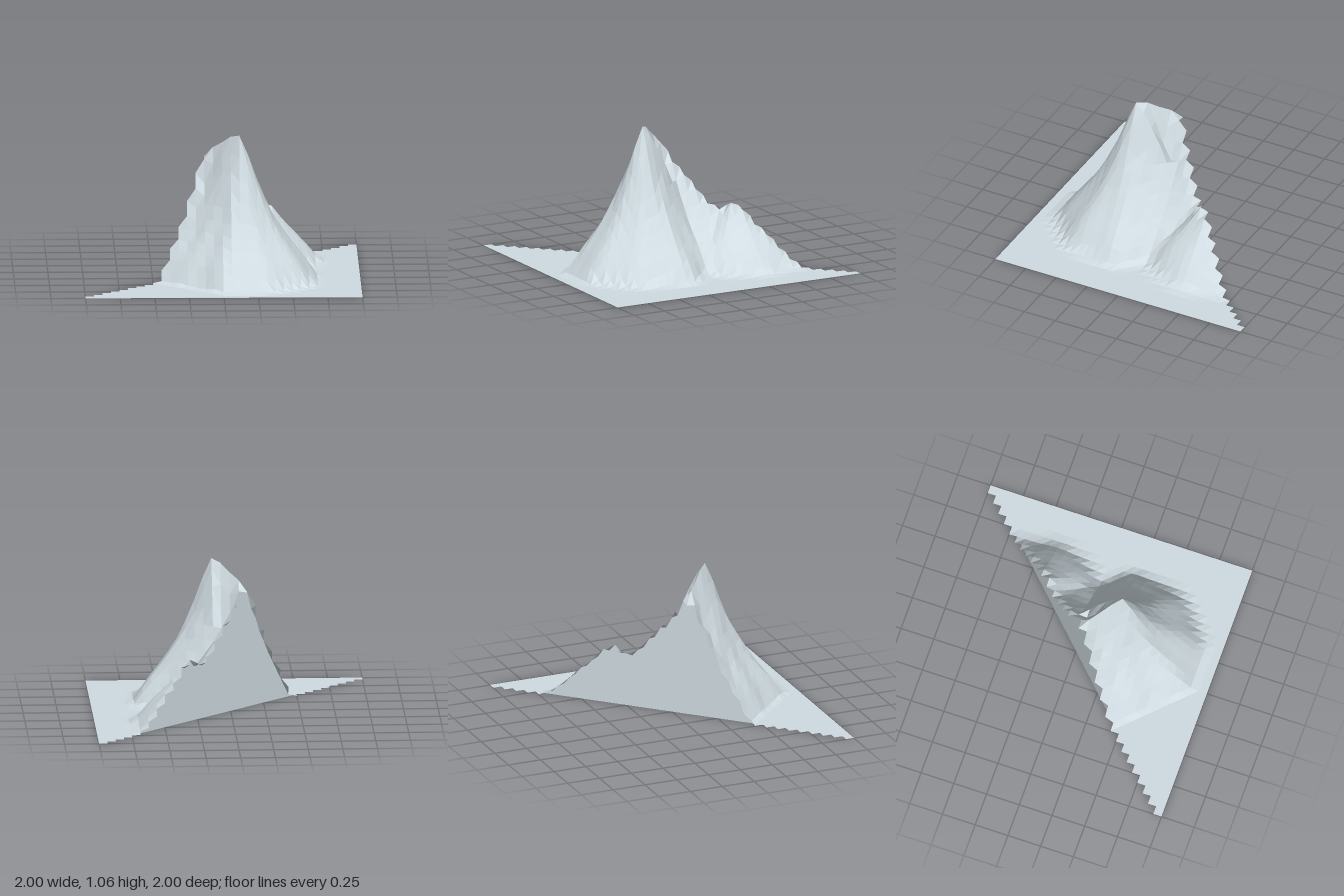
import * as THREE from 'three';

const N = 32, S = 2 / N, FLOOR = 0.002;

// Slope profile: height at each grid step of distance from the summit
const SLOPE = [1.06, 0.92, 0.75, 0.6, 0.47, 0.37, 0.28, 0.2, 0.115, 0.02, 0];
function slopeHeight(d) {
  const t = d / S, i = Math.floor(t);
  if (i >= SLOPE.length - 1) return 0;
  return THREE.MathUtils.lerp(SLOPE[i], SLOPE[i + 1], t - i);
}
function slopeDistance(h) {
  let i = 0;
  while (i < SLOPE.length - 2 && SLOPE[i + 1] > h) i++;
  return S * (i + (SLOPE[i] - h) / (SLOPE[i] - SLOPE[i + 1]));
}

// Ridge points [x, z, distance down the slope profile]
const ridge = [];
const addRidge = (x, z, h) => ridge.push([x, z, slopeDistance(h)]);

// Summit ridge running back from the peak to the cut, and a spur behind the peak
[1.06, 1.04, 0.985, 0.94].forEach((h, i) => addRidge(0.125 - i * S, 0.3125 - i * S, h));
[0.99, 0.88, 0.76].forEach((h, i) => addRidge(0.125, 0.25 - i * S, h));

// Crest along the diagonal cut, with a point halfway along each step
const CREST = [0.07, 0.23, 0.46, 0.65, 0.85, 0.87, 0.73, 0.64, 0.54,
  0.44, 0.4, 0.455, 0.41, 0.31, 0.24, 0.15, 0.07, 0.01];
CREST.forEach((h, i) => {
  const x = -0.375 + i * S;
  addRidge(x, -x, h);
  if (i < CREST.length - 1) addRidge(x + S / 2, -x - S / 2, (h + CREST[i + 1]) / 2);
});

// Ground height: the highest of the slopes falling from the ridge points
function height(px, pz) {
  // Past the cut, carry the crest straight out to the stepped edge
  const over = Math.min(0, px + pz) / 2;
  const x = px - over, z = pz - over;
  const fold = 1 + 0.02 * Math.sin(9 * Math.atan2(z - 0.31, x - 0.125));
  let h = FLOOR;
  for (const [rx, rz, start] of ridge) {
    const dx = x - rx, dz = z - rz, round = Math.hypot(dx, dz);
    // The main mountain has flattened flanks; the lower one is gentler
    const d = rz > 0.05
      ? Math.max(round, 1.17 * Math.abs(dz - dx) * Math.SQRT1_2)
      : round * 0.82;
    h = Math.max(h, slopeHeight(start + d * fold));
  }
  // On the steep left flank the crest itself sets the limit beside the cut
  const side = Math.max(0, -0.1875 - (x - z)) * Math.SQRT1_2;
  const limit = 1.06 - side * 2.1;
  return Math.max(FLOOR, Math.min(h, limit));
}

function meshFrom(name, positions, material) {
  const geometry = new THREE.BufferGeometry();
  geometry.setAttribute('position', new THREE.Float32BufferAttribute(positions, 3));
  geometry.computeVertexNormals();
  const mesh = new THREE.Mesh(geometry, material);
  mesh.name = name;
  return mesh;
}

export function createModel() {
  const group = new THREE.Group();
  group.name = 'mountainTerrain';
  const stone = new THREE.MeshStandardMaterial({
    color: 0xd0dce2, flatShading: true, side: THREE.DoubleSide,
  });
  stone.name = 'pale grey stone';

  const point = (i, j) => {
    const x = -1 + i * S, z = -1 + j * S;
    return [x, height(x, z), z];
  };

  // Terrain: whole grid cells on the front-left half, leaving a stepped edge
  const land = [];
  for (let j = 0; j < N; j++) {
    for (let i = N - 1 - j; i < N; i++) {
      const a = point(i, j), b = point(i + 1, j);
      const c = point(i, j + 1), d = point(i + 1, j + 1);
      land.push(...a, ...c, ...d, ...a, ...d, ...b);
    }
  }
  group.add(meshFrom('terrain', land, stone));

  // Cut wall along the diagonal, following the terrain above it
  const top = [];
  for (let i = 0; i <= N; i++) {
    top.push(point(i, N - i));
    if (i < N) {
      const a = point(i, N - i - 1), d = point(i + 1, N - i);
      top.push(a.map((v, k) => (v + d[k]) / 2));
    }
  }
  const wall = [];
  for (let i = 0; i < top.length - 1; i++) {
    const p = top[i], q = top[i + 1];
    const p0 = [p[0], 0, p[2]], q0 = [q[0], 0, q[2]];
    wall.push(...p0, ...p, ...q, ...p0, ...q, ...q0);
  }
  group.add(meshFrom('cutWall', wall, stone));

  // Thin outer rims and the flat underside
  const rim = [
    -1, 0, 1, 1, 0, 1, 1, FLOOR, 1, -1, 0, 1, 1, FLOOR, 1, -1, FLOOR, 1,
    1, 0, 1, 1, 0, -1, 1, FLOOR, -1, 1, 0, 1, 1, FLOOR, -1, 1, FLOOR, 1,
  ];
  group.add(meshFrom('baseRim', rim, stone));
  group.add(meshFrom('underside', [-1, 0, 1, 1, 0, -1, 1, 0, 1], stone));

  return group;
}
